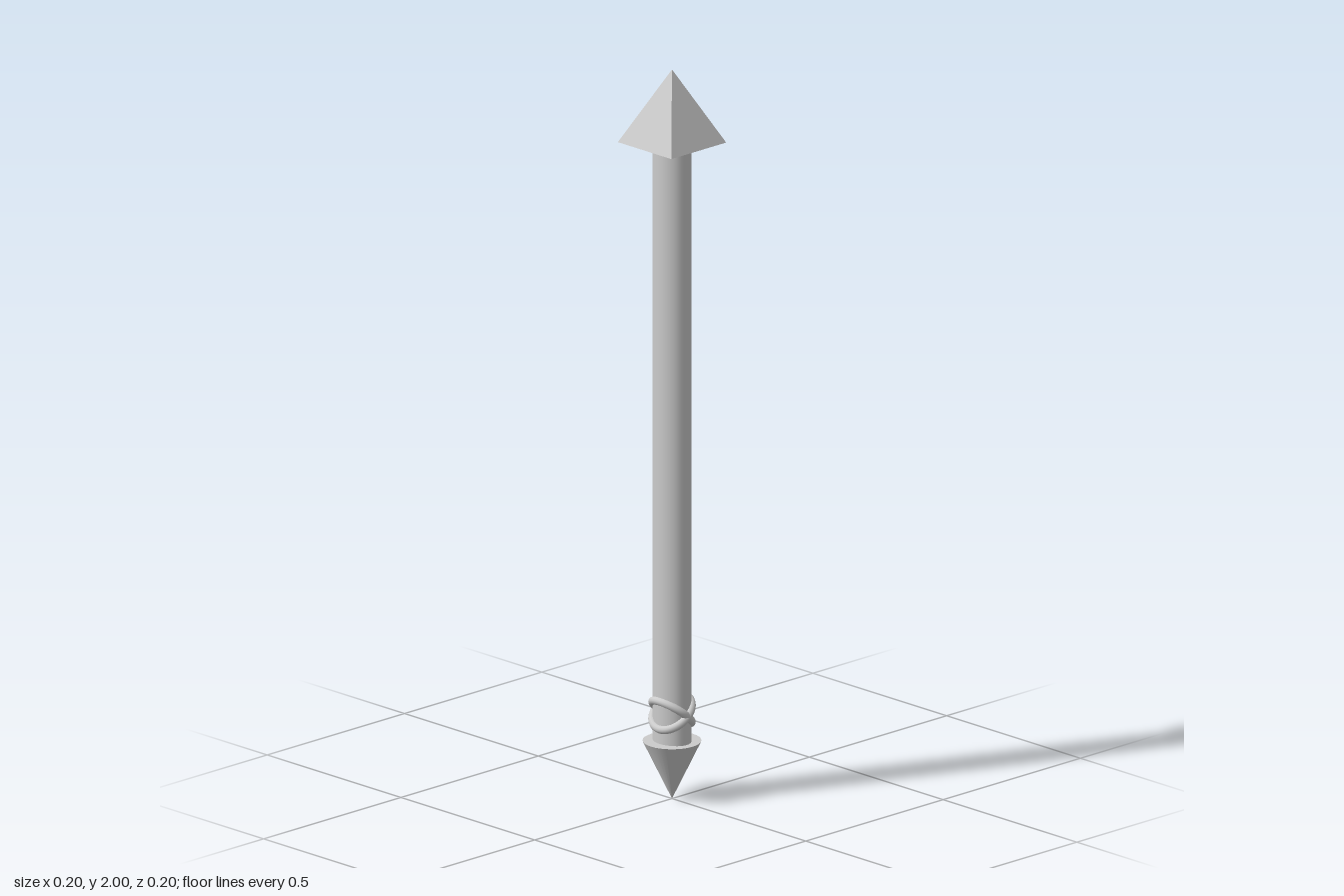
import * as THREE from 'three';

export function createModel() {
  const model = new THREE.Group();
  const smooth = new THREE.MeshStandardMaterial({ color: 0xcccccc });
  const flat = new THREE.MeshStandardMaterial({ color: 0xcccccc, flatShading: true });

  function add(name, geometry, y, material = smooth) {
    const mesh = new THREE.Mesh(geometry, material);
    mesh.name = name;
    mesh.position.y = y;
    model.add(mesh);
    return mesh;
  }

  // Four-sided point at the top, faces square to the axes
  const head = new THREE.ConeGeometry(0.1 * Math.SQRT2, 0.2, 4).rotateY(Math.PI / 4);
  add('pyramidHead', head, 1.9, flat);

  // Shaft with an oval section, deeper than it is wide
  const shaft = new THREE.CylinderGeometry(1, 1, 1.66, 32).scale(0.045, 1, 0.056);
  add('shaft', shaft, 0.98);

  // Round point at the foot
  const foot = new THREE.ConeGeometry(0.077, 0.16, 32).rotateX(Math.PI);
  add('footCone', foot, 0.08);

  // Two tilted rings crossing on the front and back of the shaft
  for (const side of [-1, 1]) {
    const ring = new THREE.TorusGeometry(0.058, 0.011, 12, 48).rotateX(Math.PI / 2);
    const mesh = add(side < 0 ? 'bindingRingA' : 'bindingRingB', ring, 0.238);
    mesh.rotation.z = side * THREE.MathUtils.degToRad(41);
  }

  return model;
}
